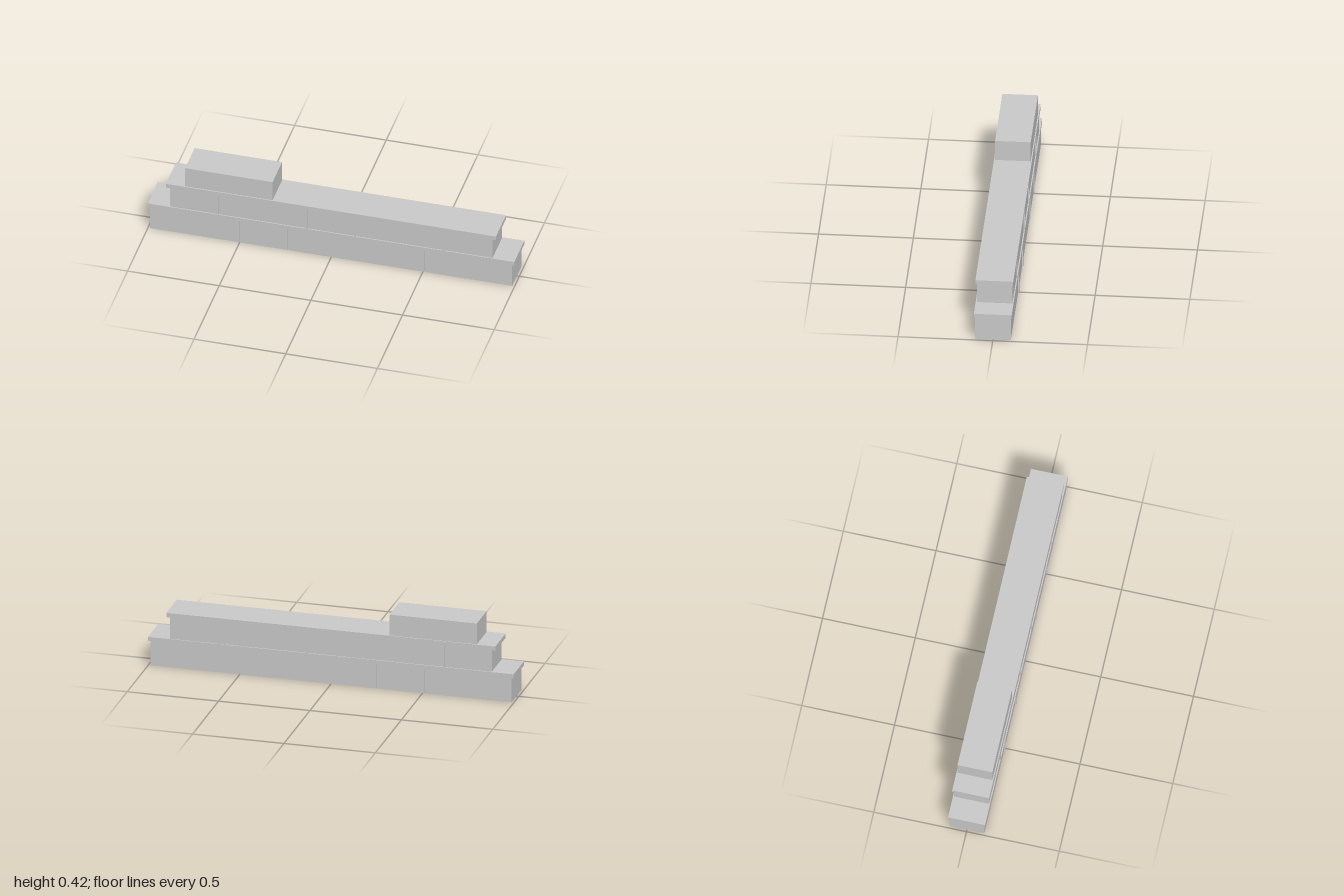
import * as THREE from 'three';

export function createModel() {
  const wall = new THREE.Group();
  wall.name = 'brickWall';
  const material = new THREE.MeshStandardMaterial({ color: 0xcccccc, flatShading: true });

  // Box given by its extents in x and y, and its depth
  const block = (name, x0, x1, y0, y1, depth, parent = wall) => {
    const mesh = new THREE.Mesh(new THREE.BoxGeometry(x1 - x0, y1 - y0, depth), material);
    mesh.position.set((x0 + x1) / 2, (y0 + y1) / 2, 0);
    mesh.name = name;
    parent.add(mesh);
  };

  const brickDepth = 0.188, mortarDepth = 0.2;
  const long = 0.477, short = 0.253, joint = 0.0095;

  // Row of bricks with slightly proud mortar in the upright joints
  const course = (name, startX, y0, y1, mortarY0, lengths) => {
    const row = new THREE.Group();
    row.name = name;
    wall.add(row);
    let x = startX;
    lengths.forEach((length, i) => {
      block('brick', x, x + length, y0, y1, brickDepth, row);
      x += length;
      if (i < lengths.length - 1) block('mortarJoint', x, x + joint, mortarY0, y1, mortarDepth, row);
      x += joint;
    });
  };

  course('lowerCourse', -0.988, 0, 0.138, 0.005, [long, short, long, short, long]);
  block('lowerMortarBed', -1, 1, 0.138, 0.161, mortarDepth);
  course('upperCourse', -0.879, 0.161, 0.283, 0.161, [short + 0.003, long - 0.003, short + 0.003, long - 0.003, short + 0.008]);
  block('upperMortarBed', -0.9, 0.9, 0.283, 0.307, mortarDepth);

  // Single brick laid on top
  block('topBrick', -0.797, -0.32, 0.307, 0.424, brickDepth);
  return wall;
}
